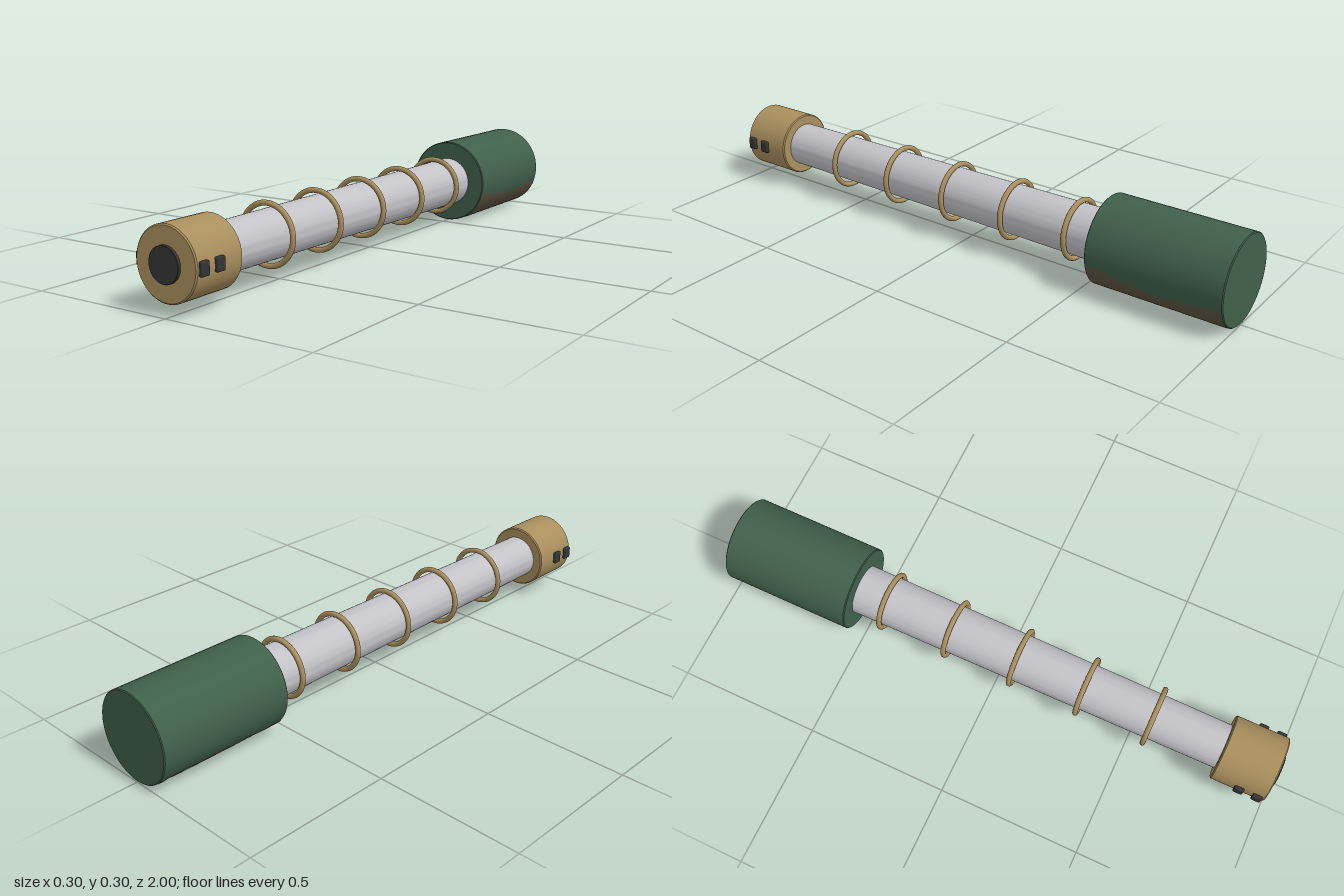
import * as THREE from 'three';
import { toCreasedNormals } from 'three/addons/utils/BufferGeometryUtils.js';
import { RoundedBoxGeometry } from 'three/addons/geometries/RoundedBoxGeometry.js';
import { ParametricGeometry } from 'three/addons/geometries/ParametricGeometry.js';

const paint = (name, color) => {
  const m = new THREE.MeshStandardMaterial({ color });
  m.name = name;
  return m;
};

// Solid of revolution along z from [radius, z] pairs, back to front, with crisp edges
function turned(points) {
  const geo = new THREE.LatheGeometry(points.map(([r, z]) => new THREE.Vector2(r, z)), 64);
  geo.rotateX(Math.PI / 2);
  return toCreasedNormals(geo, 0.5);
}

// Closed cylinder with small chamfers at both rims
const drum = (r, z0, z1, c) => turned([
  [0, z0], [r - c, z0], [r, z0 + c], [r, z1 - c], [r - c, z1], [0, z1],
]);

export function createModel() {
  const green = paint('green', 0x40604a);
  const brown = paint('brown', 0x5c5442);
  const gold = paint('gold', 0xa98f5d);
  const grey = paint('lightGrey', 0xc2c2c7);
  const dark = paint('charcoal', 0x353535);

  const model = new THREE.Group();
  model.name = 'rod';
  const axis = new THREE.Group();
  axis.name = 'rodParts';
  axis.position.y = 0.151;
  model.add(axis);

  const add = (name, geo, mat, x = 0, y = 0, z = 0) => {
    const mesh = new THREE.Mesh(geo, mat);
    mesh.name = name;
    mesh.position.set(x, y, z);
    axis.add(mesh);
    return mesh;
  };

  // Thick grip at the back
  add('grip', drum(0.149, -1, -0.537, 0.003), green);

  // Worn brown patch wrapped under the grip, with wavy edges
  const rad = THREE.MathUtils.degToRad;
  const wrap = (u, v, target) => {
    const z = THREE.MathUtils.lerp(-0.997, -0.54, v);
    const start = rad(-138 + 5 * Math.sin(v * 11) + 2 * Math.sin(v * 27));
    const end = rad(-22 + 4 * Math.cos(v * 7) + 2 * Math.sin(v * 23) + 6 * v ** 8);
    const a = THREE.MathUtils.lerp(start, end, u);
    target.set(Math.cos(a) * 0.1502, Math.sin(a) * 0.1502, z);
  };
  add('gripWear', new ParametricGeometry(wrap, 32, 40), brown);

  // Slightly tapered shaft
  add('shaft', turned([[0, -0.55], [0.087, -0.55], [0.077, 0.82], [0, 0.82]]), grey);

  // Evenly spaced rings around the shaft
  const ringGeo = new THREE.TorusGeometry(0.0975, 0.009, 12, 64);
  for (let i = 0; i < 5; i++) add('ring', ringGeo, gold, 0, 0, 0.555 - i * 0.246);

  // Head with a dark lens at the front
  add('head', drum(0.113, 0.802, 0.99, 0.004), gold);
  add('lens', drum(0.055, 0.97, 1, 0.001), dark);

  // Two small buttons on each side of the head
  const buttonGeo = new RoundedBoxGeometry(0.022, 0.043, 0.033, 3, 0.005);
  for (const side of [-1, 1]) {
    for (const z of [0.964, 0.901]) add('button', buttonGeo, dark, side * 0.112, 0, z);
  }

  return model;
}
